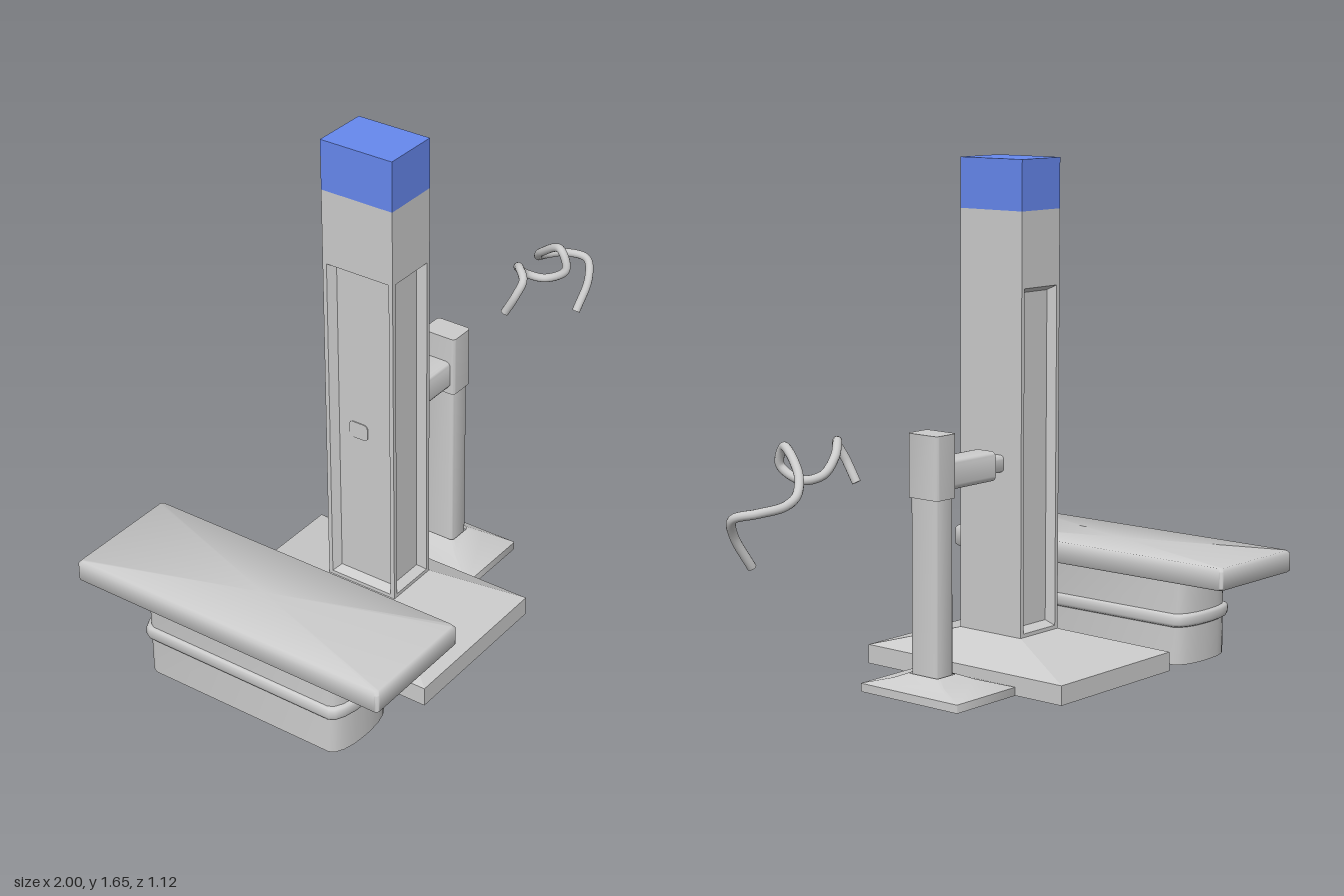
import * as THREE from 'three';
import { toCreasedNormals } from 'three/addons/utils/BufferGeometryUtils.js';

const grey = new THREE.MeshStandardMaterial({ color: 0xcccccc, side: THREE.DoubleSide });
const blue = new THREE.MeshStandardMaterial({ color: 0x6688ee });

// Rectangle at depth w, counter-clockwise; ru and rv round its corners
function ring(w, u0, u1, v0, v1, ru = 0, rv = ru, steps = 4) {
  const corners = [[u0 + ru, v0 + rv], [u1 - ru, v0 + rv], [u1 - ru, v1 - rv], [u0 + ru, v1 - rv]];
  const points = [];
  corners.forEach(([u, v], i) => {
    if (!ru) return points.push(new THREE.Vector3(u, v, w));
    for (let s = 0; s <= steps; s++) {
      const a = Math.PI + (i + s / steps) * Math.PI / 2;
      points.push(new THREE.Vector3(u + ru * Math.cos(a), v + rv * Math.sin(a), w));
    }
  });
  return points;
}

// Skin through rings, with optional flat ends
function loft(rings, capStart, capEnd, crease = 0.6) {
  const pos = [];
  const tri = (...p) => p.forEach(q => pos.push(q.x, q.y, q.z));
  const n = rings[0].length;
  for (let i = 0; i < rings.length - 1; i++) {
    for (let j = 0; j < n; j++) {
      const k = (j + 1) % n, [lo, hi] = [rings[i], rings[i + 1]];
      tri(lo[j], lo[k], hi[k]);
      tri(lo[j], hi[k], hi[j]);
    }
  }
  const cap = (r, flip) => {
    const c = r.reduce((s, p) => s.add(p), new THREE.Vector3()).divideScalar(n);
    for (let j = 0; j < n; j++) {
      const k = (j + 1) % n;
      if (flip) tri(c, r[k], r[j]); else tri(c, r[j], r[k]);
    }
  };
  if (capStart) cap(rings[0], true);
  if (capEnd) cap(rings[rings.length - 1], false);
  const g = new THREE.BufferGeometry();
  g.setAttribute('position', new THREE.Float32BufferAttribute(pos, 3));
  return toCreasedNormals(g, crease);
}

// Upright solid from sections [y, x0, x1, z0, z1, rx, rz]
const upright = (sections, bottom, top, crease) => loft(
  sections.map(([y, x0, x1, z0, z1, rx, rz]) => ring(y, x0, x1, -z1, -z0, rx, rz)), bottom, top, crease
).rotateX(-Math.PI / 2);

export function createModel() {
  const model = new THREE.Group();
  const add = (name, geometry, material = grey, parent = model) => {
    const mesh = new THREE.Mesh(geometry, material);
    mesh.name = name;
    parent.add(mesh);
    return mesh;
  };

  // Pillar on a hollow sloping base
  const X0 = -0.365, X1 = -0.178, Z0 = -0.088, Z1 = 0.163;
  const cx = (X0 + X1) / 2, cz = (Z0 + Z1) / 2, wx = X1 - X0, wz = Z1 - Z0;
  add('pillarBase', upright([
    [0, -0.595, -0.037, -0.367, 0.437], [0.063, -0.595, -0.037, -0.367, 0.437], [0.14, X0, X1, Z0, Z1],
  ], false, false, 0.1));

  // Pillar sides: front, back and outer side have a recessed panel
  const pillar = new THREE.Group();
  pillar.name = 'pillar';
  model.add(pillar);
  const side = (name, width, turn, x, z, recessed) => {
    const h = width / 2;
    const rings = [ring(0, -h, h, 0.14, 1.49)];
    if (recessed) {
      rings.push(ring(0, -h + 0.014, h - 0.014, 0.152, 1.25));
      rings.push(ring(-0.025, -h + 0.032, h - 0.032, 0.17, 1.235));
    }
    const mesh = add(name, loft(rings, false, true, 0.1), grey, pillar);
    mesh.rotation.y = turn;
    mesh.position.set(x, 0, z);
  };
  side('frontPanel', wx, 0, cx, Z1, true);
  side('backPanel', wx, Math.PI, cx, Z0, true);
  side('outerPanel', wz, -Math.PI / 2, X0, cz, true);
  side('innerSide', wz, Math.PI / 2, X1, cz, false);

  add('pillarCap', new THREE.BoxGeometry(wx, 0.16, wz).translate(cx, 1.57, cz), blue);

  // Arm between pillar and post, in two thicknesses
  const arm = (name, x0, x1, y0, y1, half, r) => {
    const c = -0.017;
    add(name, loft([ring(x0, c - half, c + half, y0, y1, r), ring(x1, c - half, c + half, y0, y1, r)], true, true)
      .rotateY(Math.PI / 2));
  };
  arm('armSpindle', -0.343, -0.11, 0.665, 0.72, 0.034, 0.014);
  arm('armSleeve', -0.125, 0.1, 0.645, 0.74, 0.046, 0.018);

  // Post with a wider head and a hollow flared foot
  add('post', upright([
    [0.06, 0.084, 0.166, -0.038, 0.072, 0.015], [0.64, 0.084, 0.166, -0.038, 0.072, 0.015],
  ], false, false));
  add('postHead', upright([
    [0.625, 0.08, 0.171, -0.045, 0.077, 0.012], [0.825, 0.08, 0.171, -0.045, 0.077, 0.012],
  ], true, true));
  add('postFoot', upright([
    [0, -0.037, 0.24, -0.184, 0.214, 0.004], [0.027, -0.037, 0.24, -0.184, 0.214, 0.004],
    [0.052, 0.04, 0.2, -0.09, 0.12, 0.008], [0.07, 0.08, 0.171, -0.045, 0.077, 0.012],
  ], false, false));

  // Bench: padded top, bowed pedestal and a band round it
  const top = (y, inset) =>
    [y, -1 + inset, -0.602 - inset, -0.56 + inset, 0.558 - inset, 0.012];
  add('benchTop', upright([top(0.288, 0.006), top(0.294, 0), top(0.35, 0), top(0.36, 0.008)], true, true, 0.9));
  const foot = (y, grow) =>
    [y, -0.932 - grow, -0.667 + grow, -0.372 - grow, 0.374 + grow, 0.12 + grow, 0.045];
  add('benchPedestal', upright([foot(0, 0), foot(0.29, 0)], false, false));
  add('benchBand', upright([
    foot(0.125, 0), foot(0.13, 0.009), foot(0.138, 0.012), foot(0.158, 0.012), foot(0.166, 0.009), foot(0.17, 0),
  ], false, false, 0.9));

  // Loose curly hose with flat ends
  const path = new THREE.CatmullRomCurve3([
    [0.47, 0.72, 0.01], [0.48, 0.79, 0.045], [0.505, 0.835, 0.055], [0.545, 0.852, 0.015], [0.6, 0.815, -0.025],
    [0.65, 0.77, -0.025], [0.685, 0.755, 0.03], [0.707, 0.795, 0.092], [0.722, 0.855, 0.06],
    [0.77, 0.79, -0.045], [0.82, 0.74, -0.085], [0.88, 0.718, -0.093], [0.95, 0.705, -0.06],
    [0.985, 0.685, 0.005], [0.955, 0.63, 0.032], [0.892, 0.53, 0.025],
  ].map(p => new THREE.Vector3(...p)));
  const hose = new THREE.Group();
  hose.name = 'hose';
  model.add(hose);
  add('hoseTube', new THREE.TubeGeometry(path, 120, 0.014, 12), grey, hose);
  for (const t of [0, 1]) {
    const end = add('hoseEnd', new THREE.CircleGeometry(0.014, 12), grey, hose);
    const p = path.getPointAt(t);
    end.position.copy(p);
    end.lookAt(p.clone().addScaledVector(path.getTangentAt(t), t ? 1 : -1));
  }
  return model;
}
